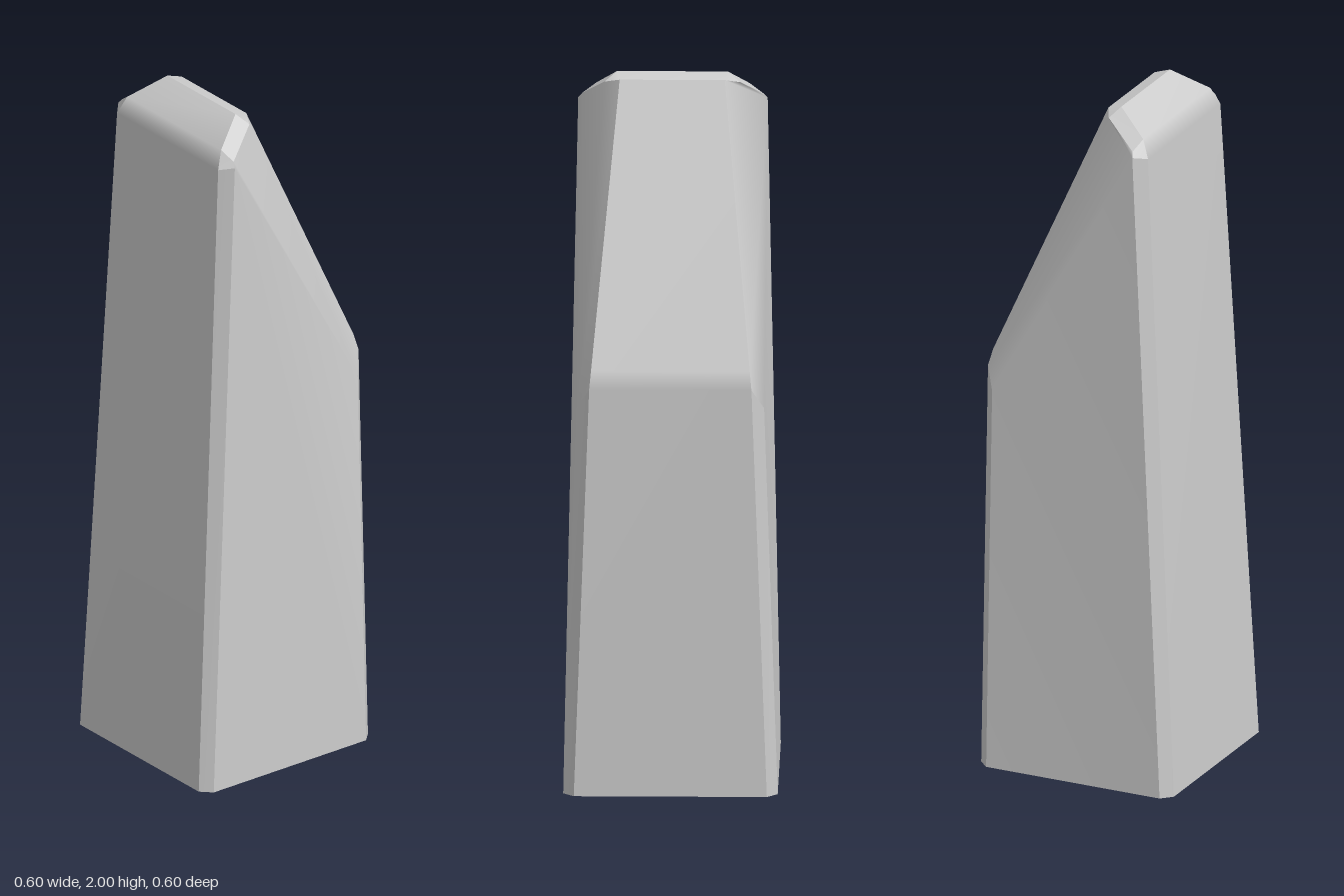
import * as THREE from 'three';

// Corner points on the +z half; a lower-case letter is the same corner at -z
const corners = {
  L: [-0.3, 0, 0.27], P: [-0.27, 0, 0.3], Q: [0.27, 0, 0.3], R: [0.3, 0, 0.27], // base
  A: [-0.2, 1.89, 0.23], B: [-0.177, 1.94, 0.214], // left shoulder
  D: [-0.168, 1.9, 0.265], C: [-0.163, 1.914, 0.253], // side shoulder
  E: [-0.08, 2, 0.155], F: [-0.058, 1.975, 0.19], G: [-0.036, 1.987, 0.147], // peak
  K: [0.286, 1.23, 0.222], H: [0.3, 1.18, 0.227], I: [0.27, 1.12, 0.262], // slope foot
};

function corner(letter) {
  const [x, y, z] = corners[letter.toUpperCase()];
  return [x, y, letter === letter.toUpperCase() ? z : -z];
}

const flip = (face) => [...face.toLowerCase()].reverse().join('');

// Faces in one mesh share corners, so they shade smoothly into each other
function surface(name, faces, material) {
  const letters = [...new Set(faces.join(''))];
  const index = [];
  for (const face of faces) {
    for (let i = 1; i < face.length - 1; i++) {
      index.push(...[face[0], face[i], face[i + 1]].map((l) => letters.indexOf(l)));
    }
  }
  const geometry = new THREE.BufferGeometry();
  geometry.setAttribute('position', new THREE.Float32BufferAttribute(letters.flatMap(corner), 3));
  geometry.setIndex(index);
  geometry.computeVertexNormals();
  const mesh = new THREE.Mesh(geometry, material);
  mesh.name = name;
  return mesh;
}

export function createModel() {
  const group = new THREE.Group();
  group.name = 'taperedBlock';
  // The shell is open underneath
  const material = new THREE.MeshStandardMaterial({ color: 0xcccccc, side: THREE.DoubleSide });

  // Faces that cross from one side to the other
  group.add(surface('leftWallAndTop', ['lLAa', 'aABb', 'bBEe'], material));
  group.add(surface('slopeAndRightWall', ['gGKk', 'kKHh', 'hHRr'], material));
  group.add(surface('peakBevel', ['eEGg', 'EFG', flip('EFG')], material));

  // Faces repeated on the front and the back
  const sides = {
    Wall: ['DPQI', 'IHKGFCD'],
    TopBevel: ['CFEB'],
    ShoulderBevel: ['ADCB'],
    LeftCornerBevel: ['LPDA'],
    RightCornerBevel: ['QRHI'],
  };
  for (const [part, faces] of Object.entries(sides)) {
    group.add(surface('front' + part, faces, material));
    group.add(surface('back' + part, faces.map(flip), material));
  }
  return group;
}
